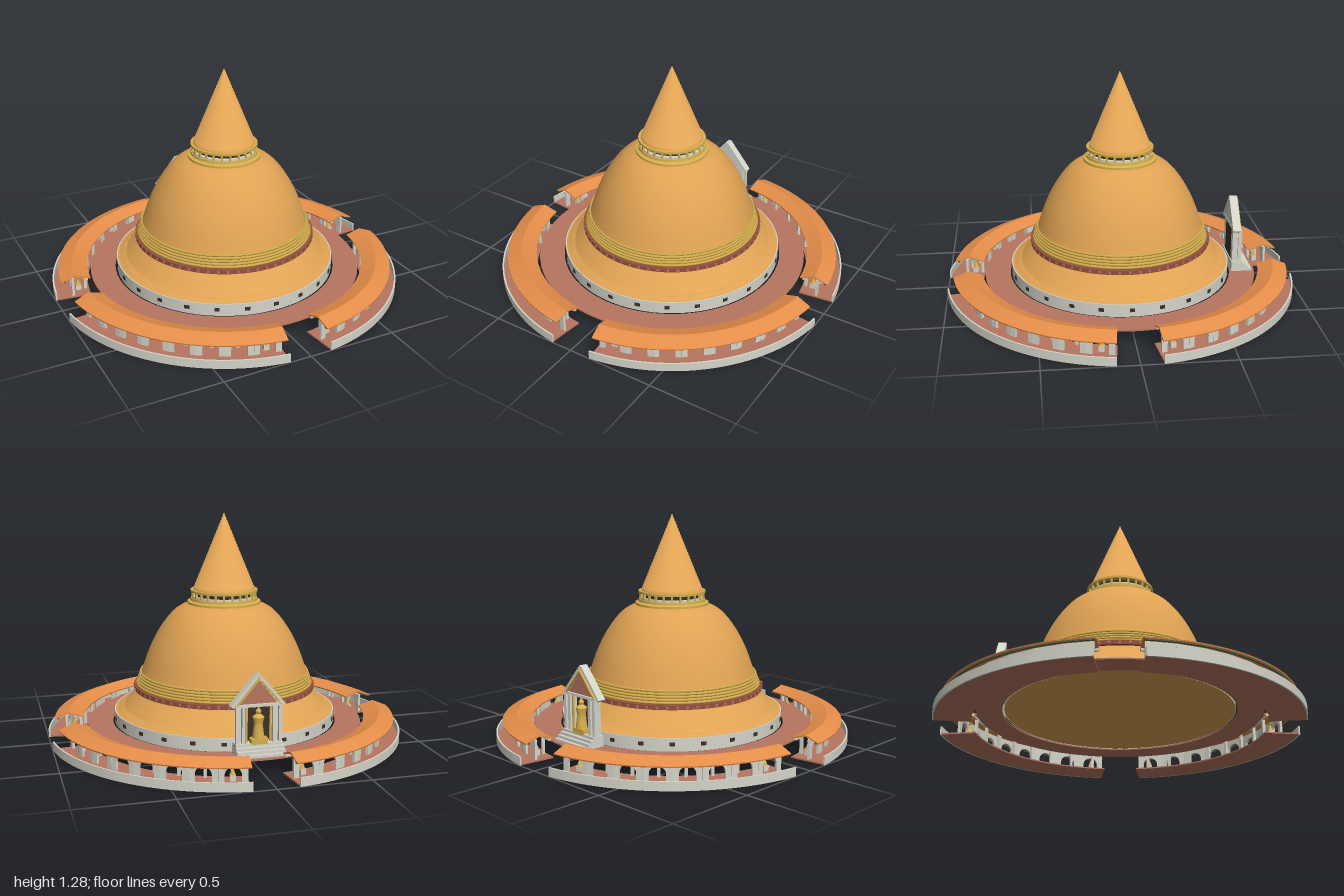
import * as THREE from 'three';
import { mergeGeometries, toCreasedNormals } from 'three/addons/utils/BufferGeometryUtils.js';

const mat = (name, color, double) => {
  const m = new THREE.MeshStandardMaterial({ color });
  m.name = name;
  if (double) m.side = THREE.DoubleSide;
  return m;
};
const V = (p) => p.map(([x, y]) => new THREE.Vector2(x, y));

export function createModel() {
  const tan = mat('tanTile', 0xe0a354, true);
  const gold = mat('gold', 0xd6b04e);
  const orange = mat('orangeRoof', 0xe68e4a);
  const clay = mat('terracotta', 0xb6755f);
  const stone = mat('stone', 0xd6d5ca, true);
  const dark = mat('darkOpening', 0x3b3026);
  const maroon = mat('maroon', 0x94503f);
  const green = mat('greenTrim', 0x4d6450);

  const root = new THREE.Group();
  root.name = 'stupa';
  const add = (parent, name, geo, m, x = 0, y = 0, z = 0) => {
    const mesh = new THREE.Mesh(geo, m);
    mesh.name = name;
    mesh.position.set(x, y, z);
    parent.add(mesh);
    return mesh;
  };
  const group = (parent, name) => {
    const g = new THREE.Group();
    g.name = name;
    parent.add(g);
    return g;
  };
  const box = (w, h, d) => new THREE.BoxGeometry(w, h, d);
  const lathe = (pts, seg = 96, crease = 0.4) => toCreasedNormals(new THREE.LatheGeometry(V(pts), seg), crease);
  const rect = (r0, r1, y0, y1) => [[r0, y0], [r1, y0], [r1, y1], [r0, y1]];
  const ring = (...a) => { const p = rect(...a); return lathe([...p, p[0]]); };
  // Closed profile swept round an arc, with both ends capped
  const arc = (pts, a0, a1) => {
    const body = new THREE.LatheGeometry(V([...pts, pts[0]]), 28, a0, a1 - a0);
    const cap = (a) => new THREE.ShapeGeometry(new THREE.Shape(V(pts))).rotateY(a - Math.PI / 2);
    const end = cap(a1);
    end.index.array.reverse();
    return toCreasedNormals(mergeGeometries([body, cap(a0), end]), 0.4);
  };
  // Runs a callback in a group turned to each of n angles, local +z pointing outwards
  const around = (parent, name, n, fn, a0 = 0, step = (Math.PI * 2) / n) => {
    for (let i = 0; i < n; i++) {
      const g = group(parent, name);
      g.rotation.y = a0 + i * step;
      fn(g);
    }
  };

  // Raised walkway and drum wall with vents
  add(root, 'walkway', ring(0.64, 0.785, 0.074, 0.081), clay);
  add(root, 'drumWall', lathe([[0.63, 0.078], [0.63, 0.149], [0.618, 0.149]]), stone);
  around(root, 'vent', 24, (g) => add(g, 'ventPlate', box(0.028, 0.02, 0.006), dark, 0, 0.116, 0.63));

  // Closed underside and softly stepped skirt
  add(root, 'underside', new THREE.CircleGeometry(0.628, 96).rotateX(Math.PI / 2), tan, 0, 0.08, 0);
  const skirt = [[0.624, 0.149], [0.603, 0.152], [0.6, 0.156], [0.578, 0.158]];
  for (let i = 0; i < 6; i++) {
    const y = 0.158 + i * 0.019, r = 0.575 - i * 0.014;
    skirt.push([r, y], [r - 0.004, y + 0.017]);
  }
  skirt.push([0.492, 0.28]);
  add(root, 'skirt', lathe(skirt, 96, 2), tan);

  // Bell and shoulder
  const bell = new THREE.SplineCurve(V([[0.472, 0.363], [0.433, 0.475], [0.39, 0.567], [0.337, 0.65],
    [0.283, 0.71], [0.23, 0.743], [0.187, 0.757]]));
  add(root, 'bell', lathe([[0.492, 0.28], [0.478, 0.35], ...bell.getPoints(28).map((p) => [p.x, p.y])]), tan);

  // Bands round the foot of the bell
  add(root, 'lowerBand', ring(0.485, 0.517, 0.268, 0.292), maroon);
  around(root, 'bandStud', 60, (g) => add(g, 'stud', box(0.014, 0.014, 0.006), clay, 0, 0.28, 0.517));
  for (let i = 0; i < 5; i++) {
    add(root, 'bandRing', new THREE.TorusGeometry(0.498 - i * 0.005, 0.007, 6, 96).rotateX(Math.PI / 2),
      gold, 0, 0.301 + i * 0.0148, 0);
  }

  // Collar with a colonnade beneath the spire
  add(root, 'collar', lathe([[0.15, 0.745], [0.208, 0.754], [0.208, 0.766], [0.19, 0.772], [0.188, 0.786], [0.15, 0.786]]), gold);
  add(root, 'collarCurb', ring(0.16, 0.182, 0.785, 0.796), stone);
  add(root, 'collarDrum', new THREE.CylinderGeometry(0.163, 0.163, 0.04, 64, 1, true), dark, 0, 0.806, 0);
  around(root, 'collarPost', 24, (g) => add(g, 'post', box(0.011, 0.036, 0.012), gold, 0, 0.804, 0.178));
  add(root, 'collarCap', ring(0.15, 0.19, 0.819, 0.832), gold);

  // Ribbed spire with softened tiers, and finial
  const spire = [], tiers = 22;
  for (let i = 0; i < tiers; i++) {
    const r = 0.175 * (1 - i / tiers), y = 0.83 + (i * 0.43) / tiers;
    spire.push([r, y], [r - 0.005, y + 0.43 / tiers]);
  }
  spire.push([0, 1.262]);
  add(root, 'spire', lathe(spire, 64, 2), tan);
  add(root, 'finial', new THREE.CylinderGeometry(0.001, 0.005, 0.035, 8), dark, 0, 1.262, 0);

  // One arch bay: two half piers joined by a round arch
  const r = 0.9, bays = 8, a0 = 0.12, a1 = Math.PI / 2 - 0.12, step = (a1 - a0 - 0.02) / bays;
  const w = r * Math.tan(step / 2), o = 0.043, top = 0.116;
  const bay = new THREE.Shape();
  bay.moveTo(-w, 0.006);
  bay.lineTo(-o, 0.006);
  bay.lineTo(-o, 0.05);
  bay.absarc(0, 0.05, o, Math.PI, 0, true);
  bay.lineTo(o, 0.006);
  bay.lineTo(w, 0.006);
  bay.lineTo(w, top);
  bay.lineTo(-w, top);
  const bayGeo = new THREE.ExtrudeGeometry(bay, { depth: 0.014, bevelEnabled: false, curveSegments: 12 });

  // Four curved galleries with gaps on the axes
  around(root, 'gallery', 4, (g) => {
    add(g, 'galleryFloor', arc(rect(0.805, 0.999, 0, 0.008), a0, a1), clay);
    add(g, 'parapet', arc(rect(0.998, 1.007, 0, 0.048), a0, a1), stone);
    add(g, 'galleryRoof', arc([[0.805, 0.106], [0.888, 0.132], [0.968, 0.104], [0.97, 0.111], [0.888, 0.142], [0.803, 0.113]], a0, a1), orange);
    add(g, 'outerEaveTrim', arc(rect(0.945, 0.955, 0.102, 0.112), a0, a1), green);
    add(g, 'innerEaveBeam', arc(rect(0.818, 0.832, 0.1, 0.112), a0, a1), stone);
    around(g, 'arcade', bays, (b) => {
      add(b, 'archBay', bayGeo, stone, 0, 0, r - 0.007);
      add(b, 'innerColumn', box(0.016, 0.1, 0.016), stone, 0, 0.054, 0.825);
    }, a0 + 0.01 + step / 2, step);
    // Seated figures near both ends
    around(g, 'smallStatue', 2, (s) => {
      add(s, 'pedestal', box(0.03, 0.03, 0.03), stone, 0, 0.023, 0.865);
      add(s, 'figure', new THREE.ConeGeometry(0.016, 0.04, 10), gold, 0, 0.058, 0.865);
      add(s, 'head', new THREE.SphereGeometry(0.007, 10, 8), gold, 0, 0.083, 0.865);
    }, a0 + 0.01 + step * 0.5, step * (bays - 1));
  });

  // Gabled shrine on the back, local +z facing out
  const shrine = group(root, 'shrine');
  shrine.rotation.y = Math.PI;
  const front = new THREE.Shape(V([[-0.115, 0.08], [0.115, 0.08], [0.115, 0.34], [0, 0.485], [-0.115, 0.34]]));
  front.holes.push(new THREE.Path(V([[-0.07, 0.14], [-0.07, 0.33], [0.07, 0.33], [0.07, 0.14]])));
  add(shrine, 'shrineWall', new THREE.ExtrudeGeometry(front, { depth: 0.032, bevelEnabled: false }), stone, 0, 0, 0.645);
  add(shrine, 'niche', box(0.15, 0.2, 0.006), dark, 0, 0.235, 0.648);
  const gable = new THREE.Shape(V([[-0.1, 0.345], [0.1, 0.345], [0, 0.47]]));
  add(shrine, 'gablePanel', new THREE.ExtrudeGeometry(gable, { depth: 0.005, bevelEnabled: false }), clay, 0, 0, 0.677);
  add(shrine, 'lintel', box(0.25, 0.014, 0.05), stone, 0, 0.337, 0.668);
  add(shrine, 'gableCrest', new THREE.ConeGeometry(0.008, 0.03, 8), gold, 0, 0.485, 0.688);
  for (const s of [-1, 1]) {
    const slope = Math.atan2(0.165, 0.14);
    const roof = add(shrine, 'shrineRoof', box(0.216, 0.016, 0.045), stone, s * 0.07, 0.414, 0.6625);
    roof.rotation.z = -s * slope;
    const trim = add(shrine, 'gableTrim', box(0.18, 0.008, 0.01), gold, s * 0.06, 0.404, 0.688);
    trim.rotation.z = -s * slope;
    for (const x of [0.082, 0.115]) {
      add(shrine, 'shrineColumn', box(0.018, 0.25, 0.02), stone, s * x, 0.207, 0.687);
    }
    add(shrine, 'innerPillar', box(0.01, 0.19, 0.01), gold, s * 0.064, 0.235, 0.682);
  }
  // Standing figure in the niche
  add(shrine, 'statueBase', box(0.09, 0.03, 0.045), gold, 0, 0.15, 0.685);
  add(shrine, 'statueBody', lathe([[0, 0.16], [0.032, 0.163], [0.027, 0.2], [0.023, 0.24], [0.031, 0.275], [0.01, 0.292], [0, 0.293]], 16), gold, 0, 0, 0.68);
  add(shrine, 'statueHead', new THREE.SphereGeometry(0.015, 14, 10), gold, 0, 0.303, 0.68);
  add(shrine, 'statueCrown', new THREE.ConeGeometry(0.009, 0.024, 10), gold, 0, 0.324, 0.68);
  // Steps down to the walkway
  for (let i = 0; i < 4; i++) {
    add(shrine, 'step', box(0.26 - i * 0.002, 0.015, 0.12 - i * 0.018), stone, 0, 0.088 + i * 0.015, 0.7 - i * 0.009);
  }
  return root;
}
